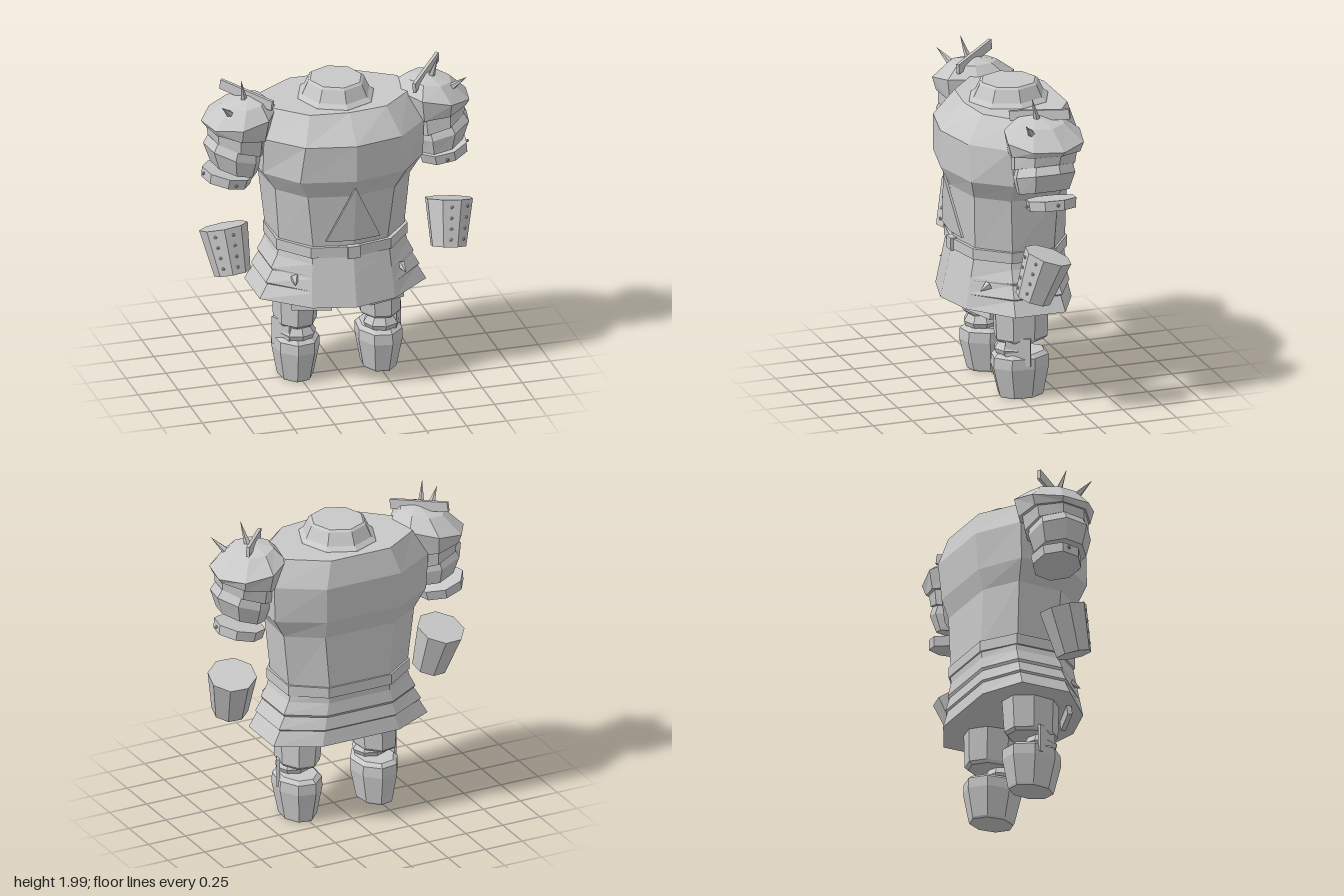
import * as THREE from 'three';
import { ConvexGeometry } from 'three/addons/geometries/ConvexGeometry.js';

const V = (x, y, z) => new THREE.Vector3(x, y, z);

// Closed flat-faced skin through a list of rings, bottom to top
function loft(rings) {
  const pos = [], n = rings[0].length;
  const tri = (...p) => p.forEach((v) => pos.push(v.x, v.y, v.z));
  for (let i = 0; i < rings.length - 1; i++) {
    for (let j = 0; j < n; j++) {
      const k = (j + 1) % n, a = rings[i], b = rings[i + 1];
      tri(a[j], a[k], b[k]);
      tri(a[j], b[k], b[j]);
    }
  }
  const bottom = rings[0], top = rings[rings.length - 1];
  for (let j = 1; j < n - 1; j++) {
    tri(bottom[0], bottom[j + 1], bottom[j]);
    tri(top[0], top[j], top[j + 1]);
  }
  const g = new THREE.BufferGeometry();
  g.setAttribute('position', new THREE.Float32BufferAttribute(pos, 3));
  g.computeVertexNormals();
  return g;
}

// Tilted polygon ring
function ring(x, y, z, rx, rz = rx, tiltZ = 0, tiltX = 0, n = 8, phase = 0) {
  const e = new THREE.Euler(tiltX, 0, tiltZ), out = [];
  for (let j = 0; j < n; j++) {
    const a = phase + (j / n) * Math.PI * 2;
    out.push(V(Math.sin(a) * rx, 0, Math.cos(a) * rz).applyEuler(e).add(V(x, y, z)));
  }
  return out;
}

// Nine-sided body section from its half outline [x, z], front to back
function section(y, half) {
  const right = half.map(([x, z]) => V(x, y, z));
  const left = half.slice(1).reverse().map(([x, z]) => V(-x, y, z));
  return [...right, ...left];
}

// Cone with its base at a and its tip at b
function spike(a, b, r, sides = 5) {
  const d = b.clone().sub(a);
  const g = new THREE.ConeGeometry(r, d.length(), sides);
  g.translate(0, d.length() / 2, 0);
  g.applyQuaternion(new THREE.Quaternion().setFromUnitVectors(V(0, 1, 0), d.normalize()));
  return g.translate(a.x, a.y, a.z);
}

const stud = (x, y, z) => new THREE.IcosahedronGeometry(0.011, 0).translate(x, y, z);

// Copy reflected in x with the winding kept outward
function mirrored(geometry) {
  const g = geometry.index ? geometry.toNonIndexed() : geometry.clone();
  g.scale(-1, 1, 1);
  const p = g.attributes.position, a = V(0, 0, 0), b = V(0, 0, 0);
  for (let i = 0; i < p.count; i += 3) {
    a.fromBufferAttribute(p, i + 1);
    b.fromBufferAttribute(p, i + 2);
    p.setXYZ(i + 1, b.x, b.y, b.z);
    p.setXYZ(i + 2, a.x, a.y, a.z);
  }
  g.computeVertexNormals();
  return g;
}

export function createModel() {
  const model = new THREE.Group();
  model.name = 'armour';
  const steel = new THREE.MeshStandardMaterial({ color: 0xc8c8c8, flatShading: true });
  steel.name = 'pale steel';

  const add = (name, geometry) => {
    const m = new THREE.Mesh(geometry, steel);
    m.name = name;
    model.add(m);
  };
  const pair = (name, geometry) => {
    add(name + 'Left', geometry);
    add(name + 'Right', mirrored(geometry));
  };

  // Breastplate
  add('torso', loft([
    section(0.93, [[0, 0.3], [0.23, 0.25], [0.39, 0.07], [0.4, -0.19], [0.2, -0.335]]),
    section(1.29, [[0, 0.325], [0.27, 0.27], [0.42, 0.09], [0.44, -0.2], [0.23, -0.335]]),
    section(1.41, [[0, 0.385], [0.33, 0.31], [0.5, 0.1], [0.51, -0.22], [0.24, -0.375]]),
    section(1.64, [[0, 0.385], [0.3, 0.32], [0.5, 0.12], [0.52, -0.23], [0.25, -0.395]]),
    section(1.8, [[0, 0.235], [0.24, 0.205], [0.42, 0.04], [0.43, -0.2], [0.2, -0.35]]),
  ]));
  add('collar', loft([[0.25, 1.78], [0.235, 1.805], [0.21, 1.825], [0.175, 1.9], [0.16, 1.912]]
    .map(([r, y]) => ring(0, y, -0.05, r, r * 1.06))));

  // Folded triangular belly plate
  const plate = [];
  for (const dz of [0, -0.015]) {
    plate.push(V(0, 1.36, 0.367 + dz), V(0, 1.0, 0.33 + dz),
      V(0.17, 1.005, 0.313 + dz), V(-0.17, 1.005, 0.313 + dz));
  }
  add('bellyPlate', new ConvexGeometry(plate));

  // Belt and buckle
  const beltLine = [[0, 0.322], [0.25, 0.27], [0.41, 0.08], [0.41, -0.2], [0.21, -0.345]];
  add('belt', loft([section(0.89, beltLine), section(0.957, beltLine)]));
  add('buckle', new THREE.BoxGeometry(0.075, 0.078, 0.04).translate(0, 0.923, 0.313));

  // Tiered skirt, stepped at the sides and back
  const waist = [[0, 0.315], [0.24, 0.26], [0.395, 0.08], [0.395, -0.2], [0.2, -0.335]];
  const hem = [[0, 0.385], [0.26, 0.32], [0.52, 0.1], [0.52, -0.22], [0.26, -0.355]];
  const skirtRing = (y, inset) => {
    const t = (0.9 - y) / 0.315;
    return section(y, waist.map(([x, z], i) => {
      const s = i > 1 ? 1 - inset : 1;
      return [(x + (hem[i][0] - x) * t) * s, (z + (hem[i][1] - z) * t) * s];
    }));
  };
  add('skirt', loft([skirtRing(0.585, 0), skirtRing(0.675, 0.03), skirtRing(0.685, 0),
    skirtRing(0.76, 0.03), skirtRing(0.775, 0), skirtRing(0.85, 0.02), skirtRing(0.9, 0)]));
  pair('skirtSpike', spike(V(0.33, 0.745, 0.2), V(0.345, 0.715, 0.262), 0.03));

  // Pauldron dome
  pair('pauldron', loft([
    ring(0.61, 1.65, -0.05, 0.205, 0.225, 0.17, 0, 8, 0.2),
    ring(0.605, 1.75, -0.05, 0.23, 0.25, -0.17, 0, 8, 0.2),
    ring(0.58, 1.84, -0.035, 0.135, 0.15, -0.1, 0, 8, 0.2),
    ring(0.56, 1.875, -0.02, 0.004, 0.004, 0, 0, 8, 0.2),
  ]));
  pair('tallSpike', spike(V(0.58, 1.83, -0.02), V(0.615, 2.0, 0.03), 0.026));
  pair('shortSpike', spike(V(0.68, 1.79, 0.05), V(0.765, 1.885, 0.125), 0.027));
  const crest = new THREE.BoxGeometry(0.38, 0.062, 0.02);
  crest.rotateZ(0.13).rotateY(0.9).translate(0.56, 1.872, -0.04);
  pair('shoulderCrest', crest);

  // Upper arm lames
  pair('upperArmTier', loft([
    ring(0.62, 1.565, -0.04, 0.185, 0.2, 0.34, 0, 8, 0.2),
    ring(0.615, 1.7, -0.05, 0.195, 0.21, 0.17, 0, 8, 0.2),
  ]));
  pair('lowerArmTier', loft([
    ring(0.645, 1.415, -0.03, 0.145, 0.165, 0.3, 0, 8, 0.2),
    ring(0.65, 1.52, -0.035, 0.185, 0.195, 0.32, 0, 8, 0.2),
    ring(0.635, 1.57, -0.04, 0.17, 0.18, 0.34, 0, 8, 0.2),
  ]));

  // Elbow band with studs
  pair('elbowBand', loft([
    ring(0.682, 1.315, -0.07, 0.15, 0.15, 0.22, 0, 8, 0.2),
    ring(0.67, 1.375, -0.07, 0.157, 0.157, 0.22, 0, 8, 0.2),
  ]));
  pair('elbowStudFront', stud(0.66, 1.335, 0.08));
  pair('elbowStudSide', stud(0.825, 1.38, -0.06));

  // Forearm guard with two rows of studs
  pair('forearm', loft([
    ring(0.675, 0.755, 0.048, 0.11, 0.11, -0.1, -0.31, 8, 0.25),
    ring(0.705, 1.028, -0.04, 0.148, 0.148, -0.1, -0.31, 8, 0.25),
  ]));
  for (let i = 0; i < 4; i++) {
    const t = 0.15 + i * 0.23;
    const x = 0.705 - 0.03 * t, y = 1.028 - 0.273 * t, z = -0.04 + 0.088 * t;
    const r = 0.146 - 0.038 * t;
    pair('forearmStudInner' + i, stud(x - r * 0.12, y + r * 0.28, z + r * 0.89));
    pair('forearmStudOuter' + i, stud(x + r * 0.62, y + r * 0.17, z + r * 0.69));
  }

  // Legs
  pair('thigh', loft([
    ring(0.262, 0.362, -0.03, 0.115, 0.15, 0, 0, 8, 0.25),
    ring(0.262, 0.38, -0.03, 0.128, 0.17, 0, 0, 8, 0.25),
    ring(0.25, 0.7, -0.03, 0.148, 0.185, 0, 0, 8, 0.25),
  ]));
  const flap = new THREE.BoxGeometry(0.24, 0.15, 0.03);
  pair('thighFlap', flap.rotateX(-0.12).rotateY(0.3).translate(0.23, 0.605, 0.215));
  pair('knee', loft([
    ring(0.26, 0.26, 0.03, 0.08, 0.08),
    ring(0.26, 0.29, 0.03, 0.098, 0.098),
    ring(0.26, 0.315, 0.03, 0.112, 0.107),
    ring(0.26, 0.37, 0.03, 0.075, 0.075),
  ]));
  pair('shin', loft([
    ring(0.262, 0.008, -0.03, 0.102, 0.14, 0, 0, 8, 0.25),
    ring(0.26, 0.02, -0.03, 0.108, 0.146, 0, 0, 8, 0.25),
    ring(0.26, 0.2, -0.025, 0.142, 0.186, 0, 0, 8, 0.25),
    ring(0.26, 0.265, -0.025, 0.14, 0.182, 0, 0, 8, 0.25),
    ring(0.26, 0.287, -0.025, 0.115, 0.155, 0, 0, 8, 0.25),
  ]));

  // Notched knee side plate
  const guard = new THREE.Shape([[-0.075, -0.1], [-0.03, -0.1], [0, -0.04], [0.03, -0.1],
    [0.075, -0.1], [0.075, 0.075], [-0.075, 0.075]].map(([x, y]) => new THREE.Vector2(x, y)));
  const guardGeo = new THREE.ExtrudeGeometry(guard, { depth: 0.02, bevelEnabled: false });
  pair('kneeGuard', guardGeo.rotateY(1.09).translate(0.352, 0.32, 0.018));

  return model;
}
